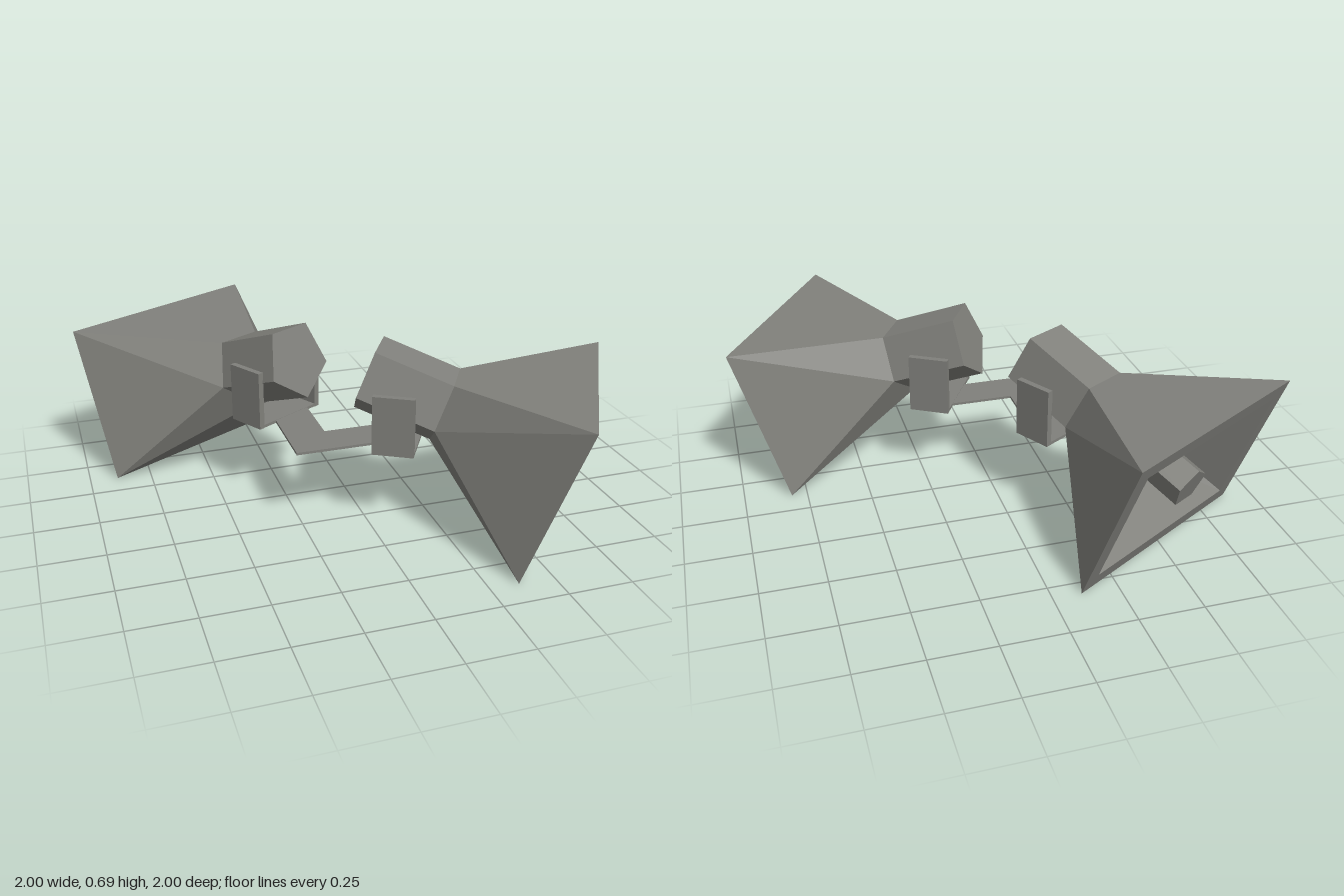
import * as THREE from 'three';

const R = 0.156;        // housing radius
const BODY = 0.316;     // housing length
const MOUTH = 0.793;    // distance from housing back to the horn's mouth
const TILT = THREE.MathUtils.degToRad(20);

const grey = new THREE.MeshStandardMaterial({ color: 0x80807b });
grey.name = 'metal grey';

function part(name, geometry, parent) {
  const flat = geometry.index ? geometry.toNonIndexed() : geometry;
  flat.computeVertexNormals(); // one normal per face
  const mesh = new THREE.Mesh(flat, grey);
  mesh.name = name;
  parent.add(mesh);
  return mesh;
}

// Five-sided prism along z with one corner pointing down
function prism(radius, z0, z1) {
  return new THREE.CylinderGeometry(radius, radius, z1 - z0, 5)
    .rotateX(Math.PI / 2)
    .translate(0, 0, (z0 + z1) / 2);
}

// Funnel from a five-sided throat to a four-cornered mouth
function funnel(radius, z0, halfW, halfH, inward) {
  const p = [0, 1, 2, 3, 4].map((i) => {
    const a = -Math.PI / 2 + (i * Math.PI * 2) / 5;
    return [radius * Math.cos(a), radius * Math.sin(a), z0];
  });
  const [tr, tl, bl, br] = [[1, 1], [-1, 1], [-1, -1], [1, -1]]
    .map(([x, y]) => [x * halfW, y * halfH, MOUTH]);
  const faces = [
    [p[3], tl, tr], [p[3], tr, p[2]],                    // top
    [p[2], tr, p[1]], [p[1], tr, br], [p[1], br, p[0]],  // one side
    [p[0], br, bl],                                      // bottom
    [p[0], bl, p[4]], [p[4], bl, tl], [p[4], tl, p[3]],  // other side
  ];
  if (inward) faces.forEach((f) => f.reverse());
  const geometry = new THREE.BufferGeometry();
  geometry.setAttribute('position', new THREE.Float32BufferAttribute(faces.flat(2), 3));
  return geometry;
}

function rectangle(PathType, w, h) {
  return new PathType([[-w, -h], [w, -h], [w, h], [-w, h]].map(([x, y]) => new THREE.Vector2(x, y)));
}

// One lamp facing local +z, with its yoke
function createLamp(name) {
  const lamp = new THREE.Group();
  lamp.name = name;

  const head = new THREE.Group();
  head.name = 'head';
  head.position.set(0, 0.577, 0.122);
  head.rotation.x = TILT;
  lamp.add(head);

  part('housing', prism(R, 0, BODY), head);
  part('hornOuter', funnel(R, BODY, 0.45, 0.32, false), head);
  part('hornInner', funnel(R * 0.9, BODY + 0.004, 0.385, 0.258, true), head);
  const rim = rectangle(THREE.Shape, 0.45, 0.32);
  rim.holes.push(rectangle(THREE.Path, 0.385, 0.258));
  part('hornRim', new THREE.ShapeGeometry(rim).translate(0, 0, MOUTH), head);
  part('bulb', prism(0.085, BODY - 0.02, 0.805).rotateZ(Math.PI), head);

  // U-shaped yoke under the housing
  for (const side of [-1, 1]) {
    part('yokeArm', new THREE.BoxGeometry(0.024, 0.235, 0.16), lamp)
      .position.set(side * 0.155, 0.4325, 0.25);
  }
  part('yokeBase', new THREE.BoxGeometry(0.3, 0.012, 0.16), lamp)
    .position.set(0, 0.322, 0.25);
  return lamp;
}

export function createModel() {
  const model = new THREE.Group();
  model.name = 'twinFloodlight';

  const front = createLamp('frontLamp');
  front.position.set(-0.069, 0, 0.12);
  front.rotation.y = Math.PI / 3;

  const rear = createLamp('rearLamp');
  rear.position.set(-0.12, 0, 0.069);
  rear.rotation.y = Math.PI * 7 / 6;
  model.add(front, rear);

  // Right-angled strap joining the two yokes
  const strap = new THREE.Shape([
    [-0.275, 0.275], [-0.275, -0.16], [-0.12, -0.16], [-0.12, 0.12], [0.16, 0.12], [0.16, 0.275],
  ].map(([x, z]) => new THREE.Vector2(x, z)));
  part('strap', new THREE.ExtrudeGeometry(strap, { depth: 0.01, bevelEnabled: false })
    .rotateX(Math.PI / 2), model).position.y = 0.327;

  return model;
}
